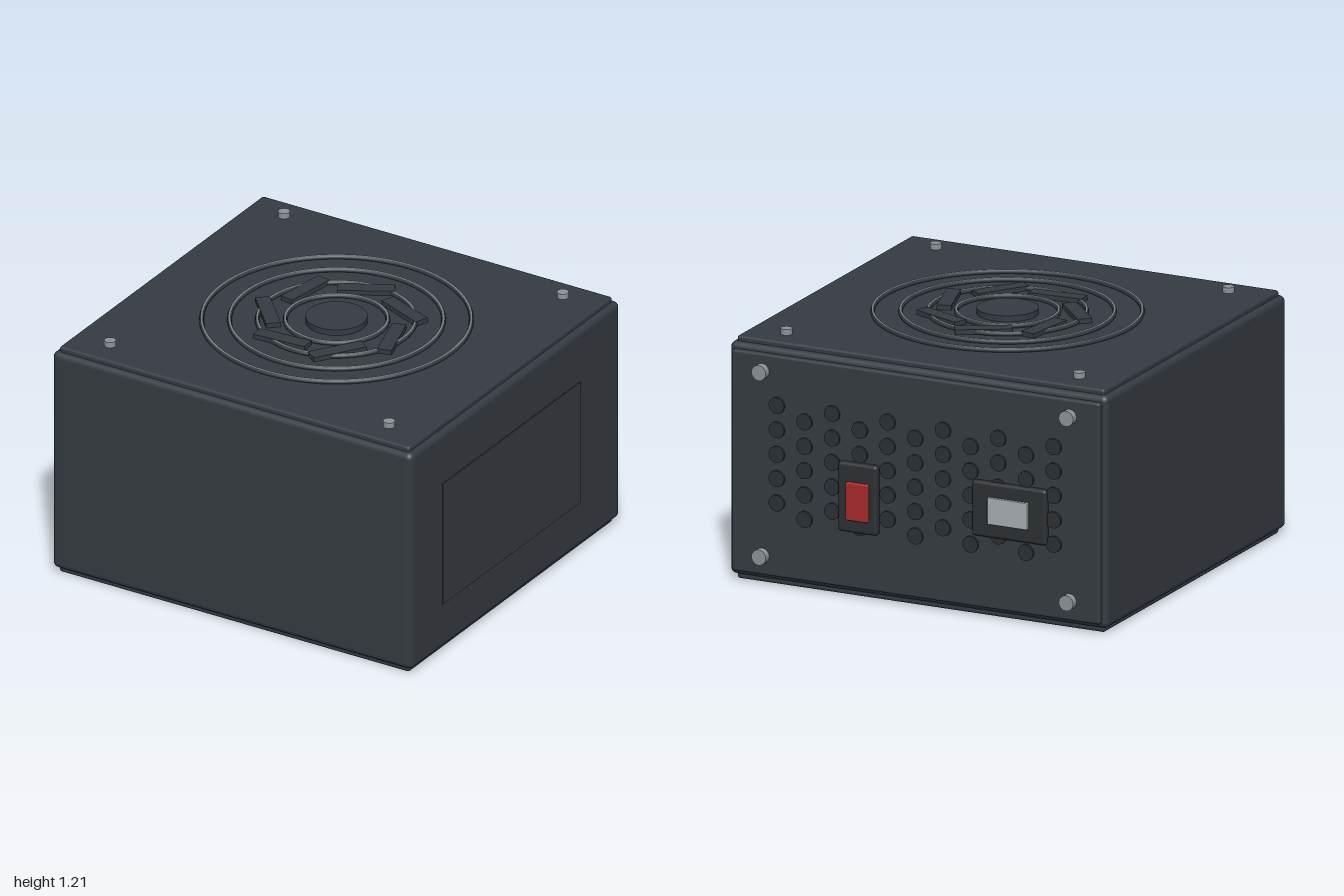
import * as THREE from 'three';
import { RoundedBoxGeometry } from 'three/addons/geometries/RoundedBoxGeometry.js';

const mat = (name, color, side = THREE.FrontSide) => {
  const m = new THREE.MeshStandardMaterial({ color, side });
  m.name = name;
  return m;
};

export function createModel() {
  const root = new THREE.Group();
  root.name = 'powerSupply';
  const casing = mat('casing charcoal', 0x353b41);
  const dark = mat('dark trim', 0x2b3034);
  const metal = mat('screw steel', 0x8e9398);
  const wire = mat('grille wire grey', 0x777a7c);
  const pale = mat('socket grey', 0xa8aeb2);
  const red = mat('switch red', 0xa82a2a);

  const add = (name, geometry, material, x, y, z, parent = root) => {
    const m = new THREE.Mesh(geometry, material);
    m.name = name;
    m.position.set(x, y, z);
    parent.add(m);
    return m;
  };
  // Box given by its limits on each axis, with rounded edges when r > 0
  const block = (name, material, [x0, x1], [y0, y1], [z0, z1], r = 0) => {
    const s = [x1 - x0, y1 - y0, z1 - z0];
    const g = r ? new RoundedBoxGeometry(...s, 3, r) : new THREE.BoxGeometry(...s);
    return add(name, g, material, (x0 + x1) / 2, (y0 + y1) / 2, (z0 + z1) / 2);
  };
  const group = (name) => {
    const g = new THREE.Group();
    g.name = name;
    root.add(g);
    return g;
  };

  // Casing and its cover plates
  block('body', casing, [-1, 0.98], [0.025, 1.16], [-0.885, 0.96], 0.03);
  block('topPlate', casing, [-0.973, 0.952], [1.13, 1.185], [-0.86, 0.935], 0.013);
  block('bottomPlate', casing, [-0.973, 0.952], [0, 0.055], [-0.86, 0.935], 0.013);
  block('backPlate', casing, [-0.973, 0.957], [0.05, 1.13], [-0.91, -0.86], 0.013);
  block('sidePanel', casing, [0.994, 1], [0.273, 0.908], [-0.505, 0.712]);

  // Fan grille on the top
  const cx = -0.01, cz = 0.033;
  const grille = group('fanGrille');
  for (const r of [0.63, 0.5, 0.37, 0.24]) {
    const ring = add('grilleRing', new THREE.TorusGeometry(r, 0.011, 8, 72), casing, cx, 1.194, cz, grille);
    ring.rotation.x = -Math.PI / 2;
    const strip = add('grilleRingFace', new THREE.RingGeometry(r - 0.006, r + 0.006, 72), wire, cx, 1.2056, cz, grille);
    strip.rotation.x = -Math.PI / 2;
  }
  const bladeGeo = new THREE.BoxGeometry(0.27, 0.03, 0.07);
  for (let i = 0; i < 7; i++) {
    const a = THREE.MathUtils.degToRad(263) + (i * Math.PI * 2) / 7;
    const blade = add('fanBlade', bladeGeo, casing, cx + 0.327 * Math.cos(a), 1.193, cz + 0.327 * Math.sin(a), grille);
    blade.rotation.y = -(a + THREE.MathUtils.degToRad(67));
  }
  add('fanHub', new THREE.CylinderGeometry(0.145, 0.145, 0.04, 48), casing, cx, 1.194, cz, grille);

  // Screws on the top and back
  const screws = group('screws');
  const topScrew = new THREE.CylinderGeometry(0.028, 0.028, 0.05, 16);
  const backScrew = new THREE.CylinderGeometry(0.038, 0.038, 0.06, 16);
  for (const sx of [-1, 1]) {
    for (const s of [-1, 1]) {
      add('topScrew', topScrew, metal, cx + sx * 0.767, 1.188, cz + s * 0.766, screws);
      const b = add('backScrew', backScrew, metal, cx + sx * 0.805, 0.595 + s * 0.45, -0.916, screws);
      b.rotation.x = Math.PI / 2;
    }
  }

  // Staggered vent buttons on the back
  const vents = group('vents');
  const ventGeo = new THREE.CylinderGeometry(0.04, 0.04, 0.03, 18);
  for (let k = -5; k <= 5; k++) {
    for (let j = 0; j < 5; j++) {
      const y = (k % 2 ? 0.89 : 0.83) - 0.119 * j;
      add('vent', ventGeo, dark, cx + 0.145 * k, y, -0.906, vents).rotation.x = Math.PI / 2;
    }
  }

  // Power switch and socket on the back
  block('switchHousing', dark, [0.18, 0.385], [0.33, 0.67], [-0.94, -0.89], 0.015);
  block('switchRocker', red, [0.22, 0.335], [0.395, 0.58], [-0.96, -0.92], 0.006);
  block('socketHousing', dark, [-0.705, -0.315], [0.405, 0.675], [-0.937, -0.89], 0.015);
  block('socketInsert', pale, [-0.615, -0.405], [0.475, 0.605], [-0.953, -0.92], 0.004);

  return root;
}
